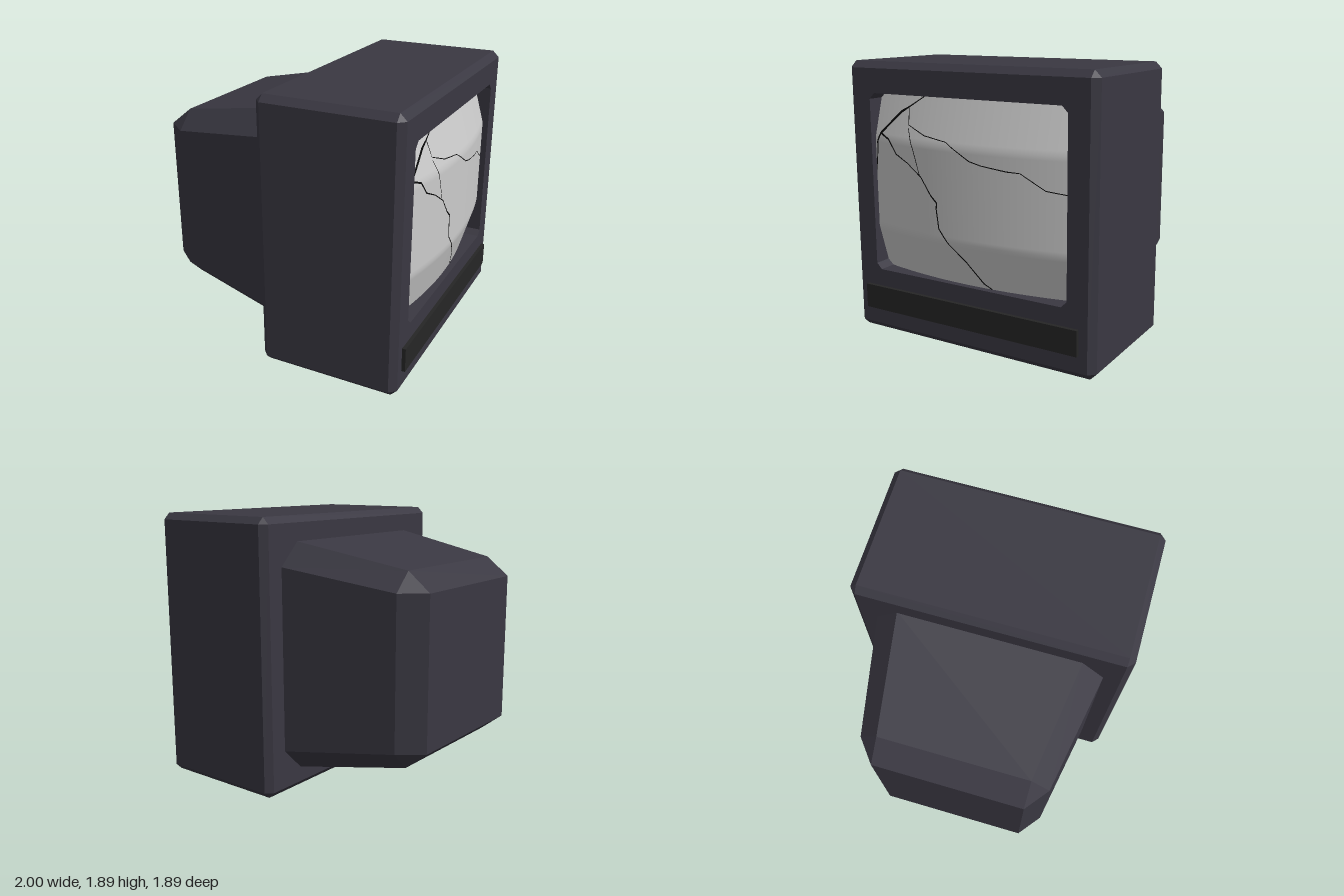
import * as THREE from 'three';

const MID_Y = 0.945;      // height of the cabinet axis
const SCREEN_Y = 1.065;   // height of the screen centre
const FRONT_X = 0.95;     // plane of the bezel

const paint = (color, extra = {}) => new THREE.MeshStandardMaterial({ color, ...extra });

function mesh(name, geometry, material) {
  const m = new THREE.Mesh(geometry, material);
  m.name = name;
  return m;
}

// Rectangle with cut corners as [z, y] points, running from +y towards +z
function cutRect(halfZ, halfY, cut, y0) {
  const z = halfZ - cut, y = halfY - cut;
  return [
    [-z, halfY], [z, halfY], [halfZ, y], [halfZ, -y],
    [z, -halfY], [-z, -halfY], [-halfZ, -y], [-halfZ, y],
  ].map(([pz, py]) => [pz, py + y0]);
}

// Flat-faced skin through rings placed along x: [{ x, ring }]
function loft(sections, { capStart = false, inward = false } = {}) {
  const pos = [];
  const area = new THREE.Triangle();
  const tri = (a, b, c) => {
    area.set(...[a, b, c].map((p) => new THREE.Vector3(...p)));
    if (area.getArea() > 1e-7) pos.push(...a, ...(inward ? [...c, ...b] : [...b, ...c]));
  };
  const rings = sections.map(({ x, ring }) => ring.map(([z, y]) => [x, y, z]));
  for (let s = 0; s + 1 < rings.length; s++) {
    const a = rings[s], b = rings[s + 1], n = a.length;
    for (let i = 0; i < n; i++) {
      const j = (i + 1) % n;
      tri(a[i], a[j], b[i]);
      tri(a[j], b[j], b[i]);
    }
  }
  if (capStart) {
    const a = rings[0];
    for (let i = 1; i + 1 < a.length; i++) tri(a[0], a[i + 1], a[i]);
  }
  const g = new THREE.BufferGeometry();
  g.setAttribute('position', new THREE.Float32BufferAttribute(pos, 3));
  g.computeVertexNormals();
  return g;
}

// Bulging glass: depth at a given height and width
function glassX(y, z) {
  const rise = Math.max(0, Math.abs(y - SCREEN_Y) - 0.31);
  return 0.996 - 0.29 * rise - 0.155 * z * z;
}

// Thin ribbon lying on the glass along [z, y, width] points
function crackGeometry(points) {
  const line = [];
  points.forEach((p, i) => {
    const q = points[i + 1];
    if (!q) return line.push(p);
    const steps = Math.ceil(Math.hypot(q[0] - p[0], q[1] - p[1]) / 0.03);
    for (let k = 0; k < steps; k++) line.push(p.map((v, c) => v + (q[c] - v) * k / steps));
  });
  const pos = [], index = [];
  line.forEach(([z, y, w], i) => {
    const a = line[Math.max(0, i - 1)], b = line[Math.min(line.length - 1, i + 1)];
    const dz = b[0] - a[0], dy = b[1] - a[1], len = Math.hypot(dz, dy);
    for (const side of [1, -1]) {
      const pz = z - side * dy / len * w / 2, py = y + side * dz / len * w / 2;
      pos.push(glassX(py, pz) + 0.004, py, pz);
    }
    if (i) {
      const k = 2 * i;
      index.push(k - 2, k, k - 1, k - 1, k, k + 1);
    }
  });
  const g = new THREE.BufferGeometry();
  g.setAttribute('position', new THREE.Float32BufferAttribute(pos, 3));
  g.setIndex(index);
  g.computeVertexNormals();
  return g;
}

export function createModel() {
  const group = new THREE.Group();
  const plastic = paint(0x3a3842, { flatShading: true });
  const dark = paint(0x262626, { flatShading: true });
  const black = paint(0x080808, { side: THREE.DoubleSide });
  const square = (x, half, cut, y0 = MID_Y) => ({ x, ring: cutRect(half, half, cut, y0) });

  // Cabinet with every edge chamfered
  group.add(mesh('cabinet', loft([
    { x: -0.04, ring: cutRect(0.9, 0.9, 0, MID_Y) },
    square(0.005, 0.945, 0.045),
    square(FRONT_X - 0.045, 0.945, 0.045),
    { x: FRONT_X, ring: cutRect(0.9, 0.9, 0, MID_Y) },
  ], { capStart: true }), plastic));

  // Front bezel with the screen opening
  const opening = cutRect(0.755, 0.615, 0.04, SCREEN_Y);
  const toPoints = (ring) => ring.map(([z, y]) => new THREE.Vector2(-z, y));
  const face = new THREE.Shape(toPoints([[-0.9, 0.045], [0.9, 0.045], [0.9, 1.845], [-0.9, 1.845]]));
  face.holes.push(new THREE.Path(toPoints(opening)));
  const bezel = new THREE.ShapeGeometry(face).rotateY(Math.PI / 2).translate(FRONT_X, 0, 0);
  group.add(mesh('bezel', bezel, plastic));
  group.add(mesh('screenRecess', loft([
    { x: 0.78, ring: opening }, { x: FRONT_X, ring: opening },
  ], { inward: true }), plastic));

  // Tapered tube housing at the rear
  group.add(mesh('rearHousing', loft([
    square(-1, 0.513, 0, 0.937),
    square(-0.84, 0.64, 0.127, 0.937),
    square(-0.03, 0.786, 0.157, 0.937),
  ], { capStart: true }), plastic));

  // Curved glass, its edges tucked behind the bezel
  const glass = new THREE.PlaneGeometry(1.52, 1.24, 40, 40).rotateY(Math.PI / 2).translate(0, SCREEN_Y, 0);
  const p = glass.attributes.position;
  for (let i = 0; i < p.count; i++) p.setX(i, glassX(p.getY(i), p.getZ(i)));
  glass.computeVertexNormals();
  group.add(mesh('screen', glass, paint(0xcccccc)));

  // Cracks in the glass: [z, y, width]
  const cracks = [
    [[0.32, 1.68, 0.006], [0.455, 1.6, 0.01], [0.52, 1.565, 0.018], [0.7, 1.41, 0.016],
      [0.73, 1.35, 0.012], [0.735, 1.27, 0.01], [0.752, 1.15, 0.008]],
    [[0.7, 1.41, 0.012], [0.61, 1.375, 0.011], [0.54, 1.285, 0.009], [0.43, 1.235, 0.006],
      [0.31, 1.155, 0.007], [0.23, 1.045, 0.009], [0.18, 1.0, 0.012], [0.185, 0.96, 0.009],
      [0.167, 0.83, 0.009], [0.085, 0.73, 0.008], [-0.02, 0.63, 0.009], [-0.13, 0.485, 0.01],
      [-0.185, 0.452, 0.008]],
    [[0.455, 1.6, 0.007], [0.435, 1.485, 0.005], [0.285, 1.43, 0.006], [0.1, 1.405, 0.005],
      [-0.085, 1.3, 0.007], [-0.17, 1.28, 0.006], [-0.35, 1.258, 0.007], [-0.44, 1.255, 0.005],
      [-0.605, 1.16, 0.006], [-0.755, 1.142, 0.006]],
    [[0.435, 1.465, 0.005], [0.38, 1.34, 0.006], [0.325, 1.17, 0.005]],
  ];
  const crackGroup = new THREE.Group();
  crackGroup.name = 'cracks';
  cracks.forEach((c, i) => crackGroup.add(mesh(`crack${i + 1}`, crackGeometry(c), black)));
  group.add(crackGroup);

  // Control strip below the screen
  const strip = new THREE.BoxGeometry(0.05, 0.17, 1.68).translate(FRONT_X, 0.245, 0);
  group.add(mesh('controlStrip', strip, dark));

  return group;
}
